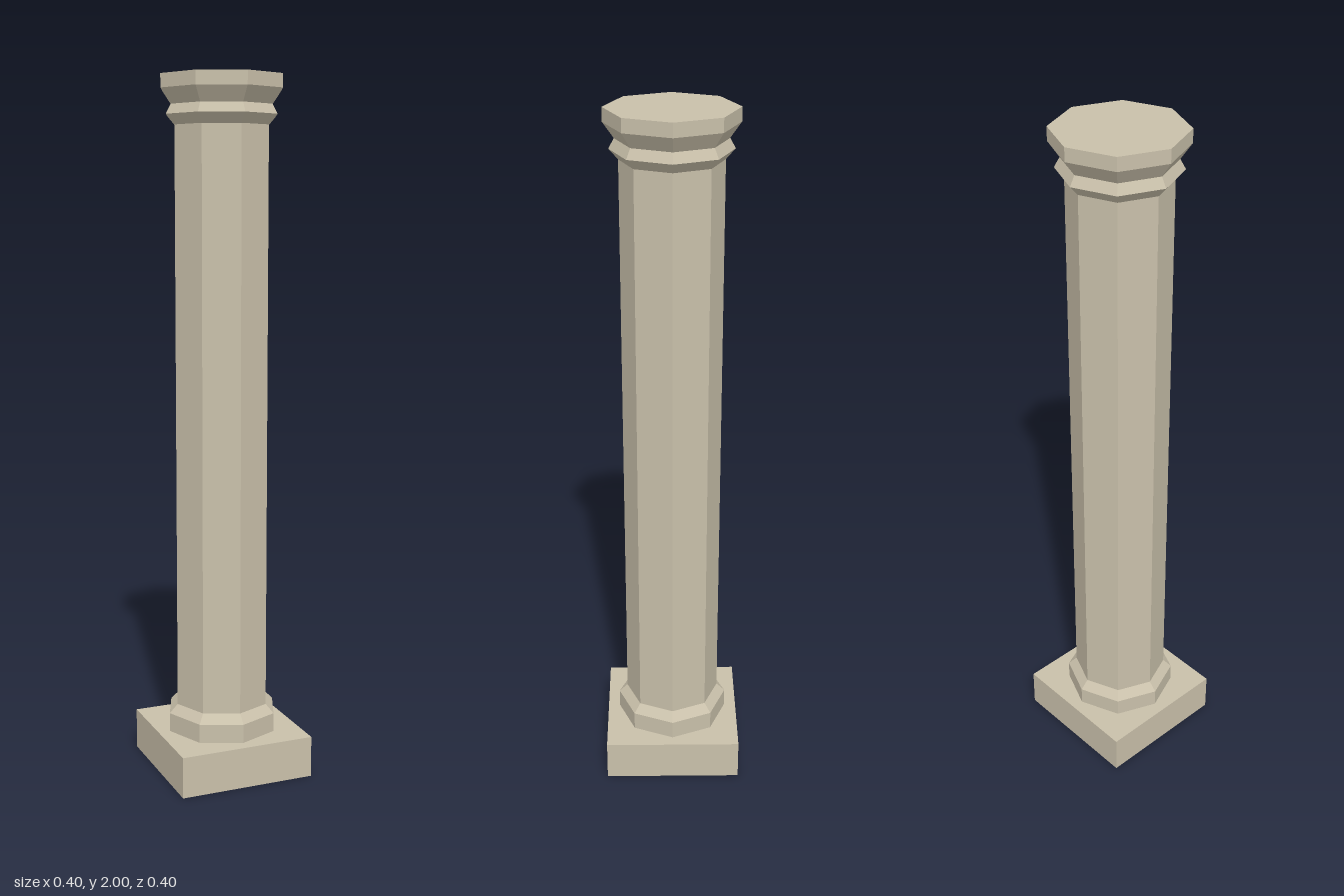
import * as THREE from 'three';

const SIDES = 8;

export function createModel() {
  const column = new THREE.Group();
  column.name = 'column';
  const stone = new THREE.MeshStandardMaterial({ color: 0xc9c0aa, flatShading: true });

  const add = (name, geometry) => {
    const mesh = new THREE.Mesh(geometry, stone);
    mesh.name = name;
    column.add(mesh);
    return mesh;
  };
  // Octagonal turned part from [radius, height] pairs, bottom to top
  const turned = (name, profile) =>
    add(name, new THREE.LatheGeometry(profile.map(([r, y]) => new THREE.Vector2(r, y)), SIDES));

  // Square plinth
  add('plinth', new THREE.BoxGeometry(0.4, 0.12, 0.4)).position.y = 0.06;

  // Base ring with a sloped shoulder
  turned('base', [[0.165, 0.12], [0.165, 0.175], [0.14, 0.2]]);

  // Plain shaft
  turned('shaft', [[0.14, 0.2], [0.14, 1.865]]);

  // Capital: collar, neck, flare and closed flat top
  turned('capital', [
    [0.14, 1.865], [0.165, 1.893], [0.15, 1.92],
    [0.18, 1.962], [0.18, 2], [0, 2],
  ]);

  return column;
}
